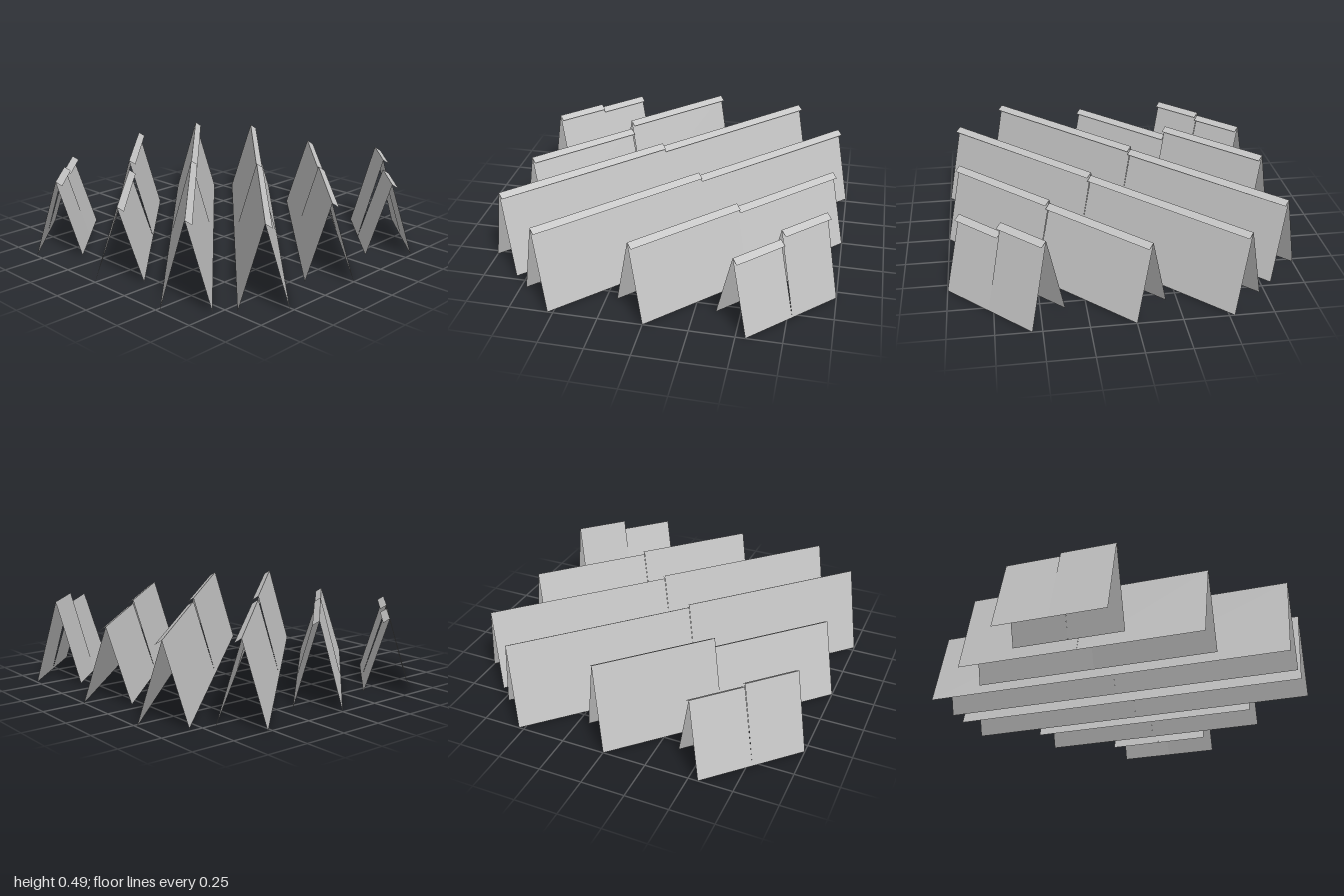
import * as THREE from 'three';

const grey = new THREE.MeshStandardMaterial({ color: 0xc4c4c4, side: THREE.DoubleSide });
grey.name = 'light grey';

const HALF_WIDTH = 0.134;
const RIDGE_HEIGHTS = [0.49, 0.471, 0.452, 0.432];
const LIP = { drop: 0.024, reach: 0.037 };

// Flat sheet running from x0 to x1 between two [y, z] edges, outward side first
function sheet(name, x0, x1, [ya, za], [yb, zb]) {
  const geometry = new THREE.BufferGeometry();
  geometry.setAttribute('position', new THREE.Float32BufferAttribute(
    [x0, ya, za, x1, ya, za, x1, yb, zb, x0, yb, zb], 3));
  geometry.setIndex([0, 1, 2, 0, 2, 3]);
  geometry.computeVertexNormals();
  const mesh = new THREE.Mesh(geometry, grey);
  mesh.name = name;
  return mesh;
}

// Open tent section: two steep sheets and a short lip over the front one
function tentSection(name, x0, x1, height) {
  const section = new THREE.Group();
  section.name = name;
  const ridge = [height, 0];
  section.add(
    sheet('frontSheet', x0, x1, [0, HALF_WIDTH], ridge),
    sheet('backSheet', x0, x1, ridge, [0, -HALF_WIDTH]),
    sheet('ridgeLip', x0, x1, [height - LIP.drop, LIP.reach], ridge)
  );
  return section;
}

export function createModel() {
  const model = new THREE.Group();
  model.name = 'tentRows';

  // Six parallel diagonal rows: [offset across the rows, length]
  const rows = [
    [-0.965, 0.63], [-0.573, 1.414], [-0.198, 2.164],
    [0.198, 2.164], [0.573, 1.414], [0.965, 0.63]
  ];
  const diagonal = new THREE.Group();
  diagonal.name = 'diagonalRows';
  diagonal.rotation.y = Math.PI / 4;
  model.add(diagonal);

  rows.forEach(([offset, length], i) => {
    const row = new THREE.Group();
    row.name = `row${i + 1}`;
    row.position.z = offset;
    // Ridge heights step through a cycle of four from section to section
    row.add(
      tentSection('nearSection', -length / 2, 0, RIDGE_HEIGHTS[(i + 2) % 4]),
      tentSection('farSection', 0, length / 2, RIDGE_HEIGHTS[(i + 3) % 4])
    );
    diagonal.add(row);
  });
  return model;
}
